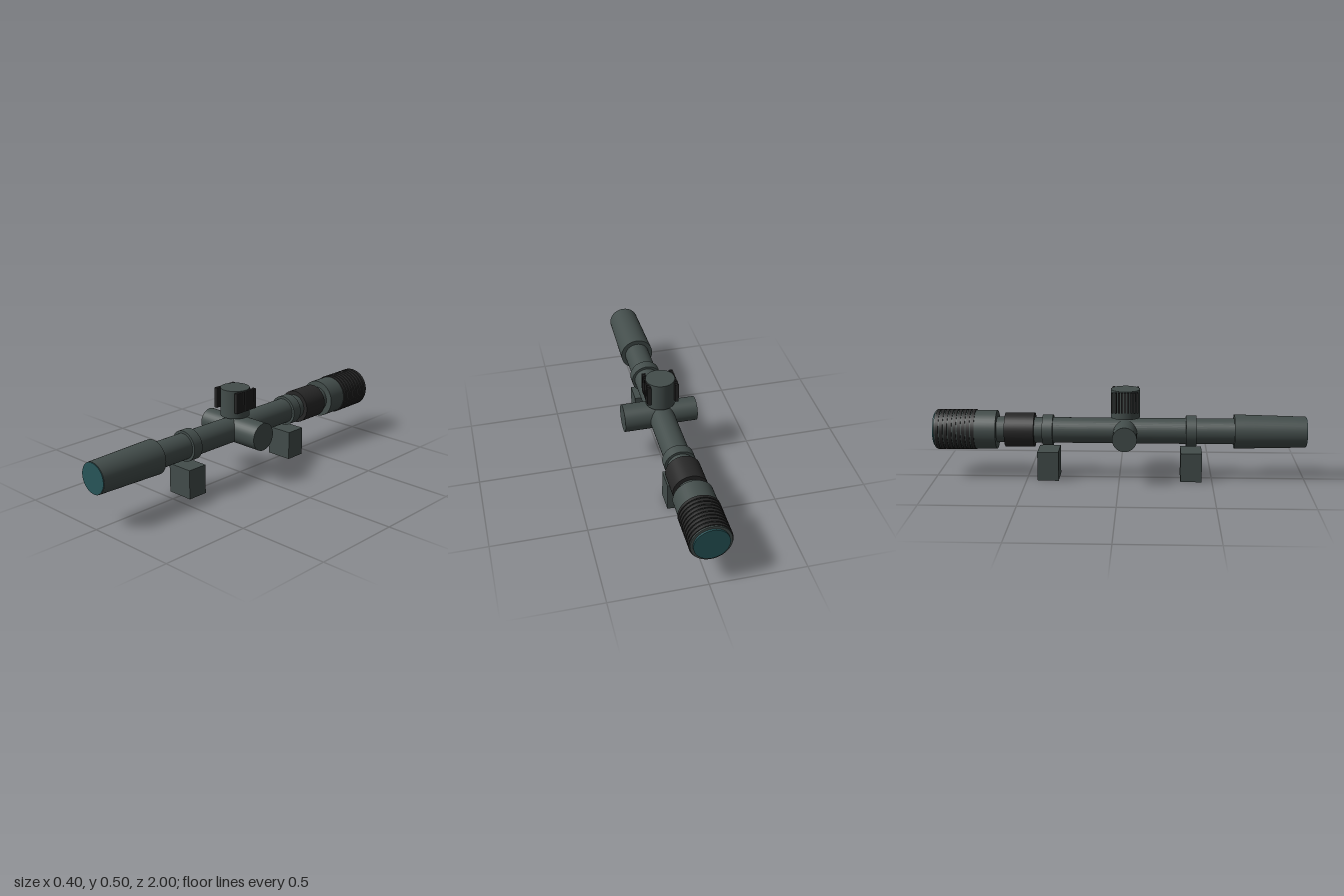
import * as THREE from 'three';

const mat = (name, color) => {
  const m = new THREE.MeshStandardMaterial({ color });
  m.name = name;
  return m;
};

export function createModel() {
  const metal = mat('gunmetal', 0x434d4b);
  const rubber = mat('black rubber', 0x272727);
  const glass = mat('teal glass', 0x28565a);

  const root = new THREE.Group();
  root.name = 'telescopicSight';
  const CX = -0.006, CY = 0.265, TZ = 0.032;

  const add = (name, geometry, material, x, y, z) => {
    const mesh = new THREE.Mesh(geometry, material);
    mesh.name = name;
    mesh.position.set(x, y, z);
    root.add(mesh);
    return mesh;
  };
  // Round section along the optical axis, from z0 (back) to z1 (front)
  const barrel = (name, z0, z1, rBack, rFront, material = metal) =>
    add(name, new THREE.CylinderGeometry(rFront, rBack, z1 - z0, 40).rotateX(Math.PI / 2),
      material, CX, CY, (z0 + z1) / 2);

  // Main tube and objective bell
  barrel('mainTube', -0.7, 0.65, 0.069, 0.069);
  barrel('objectiveBell', 0.615, 0.997, 0.092, 0.083);
  barrel('objectiveLens', 0.99, 1.0, 0.08, 0.08, glass);

  // Zoom ring and eyepiece
  barrel('zoomRing', -0.615, -0.457, 0.092, 0.092, rubber);
  barrel('eyepiece', -0.99, -0.66, 0.104, 0.104);
  barrel('eyepieceLens', -1.0, -0.985, 0.09, 0.09, glass);
  for (let i = 0; i < 9; i++) {
    const z = -0.973 + i * 0.0238;
    barrel('gripRib', z - 0.0085, z + 0.0085, 0.109, 0.109, rubber);
  }

  // Mount rings and their blocks
  for (const s of [1, -1]) {
    barrel('mountRing', s * 0.385 - 0.028, s * 0.385 + 0.028, 0.083, 0.083);
    add('mountBlock', new THREE.BoxGeometry(0.149, 0.159, 0.114), metal, CX, 0.0795, s * 0.385 + 0.002);
  }

  // Side turrets, the left one larger
  const sideTurret = (name, x0, x1, r) =>
    add(name, new THREE.CylinderGeometry(r, r, x1 - x0, 40).rotateZ(Math.PI / 2),
      metal, (x0 + x1) / 2, CY, TZ);
  sideTurret('leftTurret', 0.02, 0.2, 0.075);
  sideTurret('rightTurret', -0.2, -0.02, 0.065);

  // Top turret with a row of grip teeth on each side
  add('topTurret', new THREE.CylinderGeometry(0.078, 0.078, 0.153, 40), metal, CX, 0.4185, TZ);
  for (const s of [1, -1]) {
    for (let i = 0; i < 9; i++) {
      add('turretTooth', new THREE.BoxGeometry(0.02, 0.11, 0.0105), rubber,
        CX + s * 0.0745, 0.435, TZ + (i - 4) * 0.0165);
    }
  }
  return root;
}
